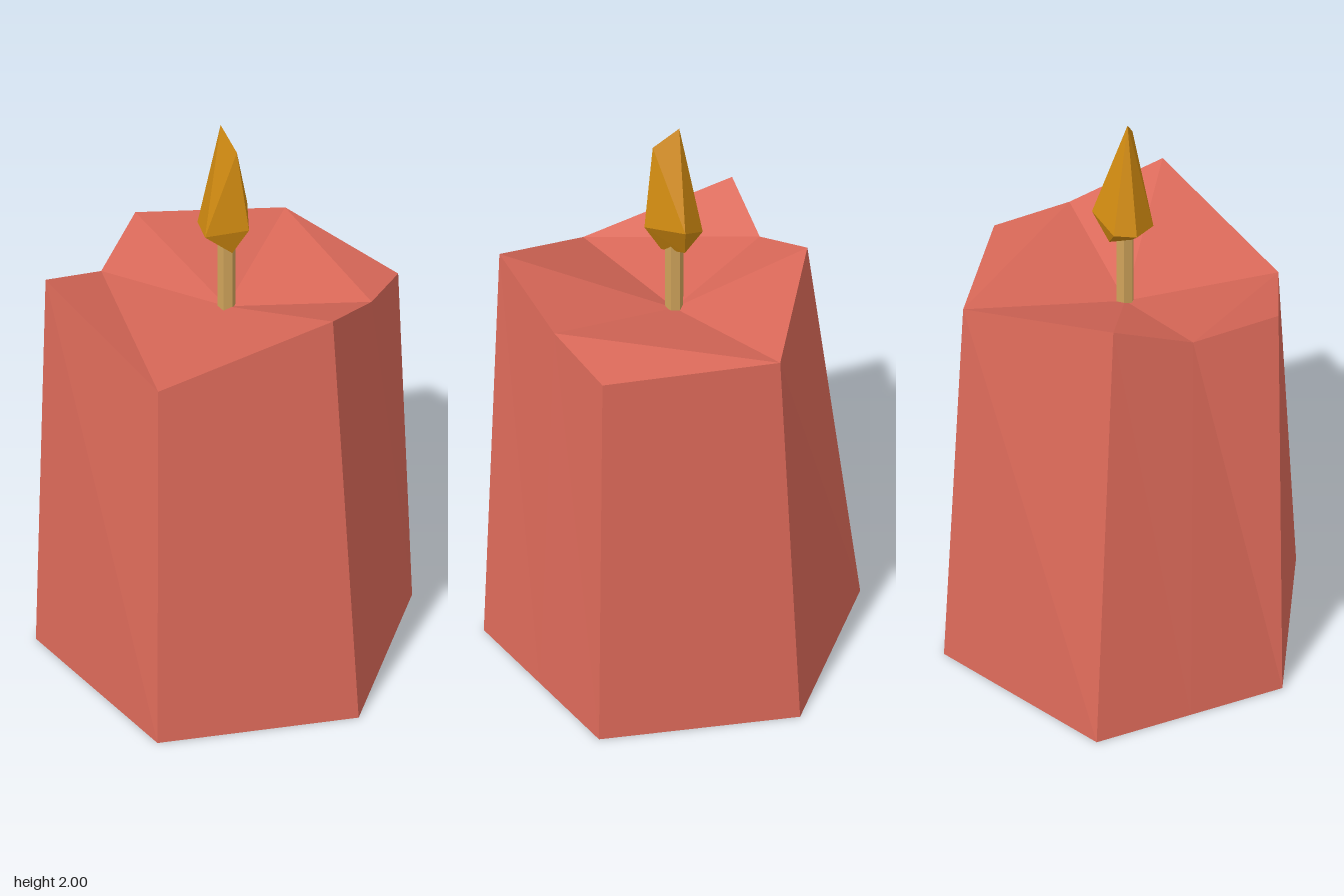
import * as THREE from 'three';
import { ConvexGeometry } from 'three/addons/geometries/ConvexGeometry.js';

// Flat-shaded surface from a list of points and corner triples
function facets(points, faces) {
  const g = new THREE.BufferGeometry();
  g.setAttribute('position', new THREE.Float32BufferAttribute(faces.flat().flatMap((i) => points[i]), 3));
  g.computeVertexNormals();
  return g;
}

export function createModel() {
  const group = new THREE.Group();
  const material = (name, color) => {
    const m = new THREE.MeshStandardMaterial({ color, flatShading: true });
    m.name = name;
    return m;
  };
  const add = (name, geometry, mat) => {
    const mesh = new THREE.Mesh(geometry, mat);
    mesh.name = name;
    group.add(mesh);
    return mesh;
  };
  const wax = material('redWax', 0xd96858);
  const cord = material('tanWick', 0xcfa35a);
  const fire = material('orangeFlame', 0xd08a10);

  // Wax body: hexagonal foot with two extra side points, and an uneven melted rim.
  // Both rings run back, left, front, right.
  const foot = [[0, -0.7], [-0.61, -0.35], [-0.61, 0], [-0.61, 0.35],
    [0, 0.7], [0.61, 0.35], [0.61, 0], [0.61, -0.35]].map(([x, z]) => [x, 0, z]);
  const rim = [[0.02, 1.43, -0.55], [-0.4, 1.515, -0.2], [-0.42, 1.425, 0.06], [-0.505, 1.515, 0.31],
    [-0.03, 1.34, 0.545], [0.46, 1.57, 0.325], [0.49, 1.453, -0.01], [0.505, 1.41, -0.28]];
  const n = foot.length, well = 2 * n, base = 2 * n + 1;
  const points = [...foot, ...rim, [0, 1.34, 0], [0, 0, 0]];
  const faces = [];
  for (let i = 0; i < n; i++) {
    const j = (i + 1) % n;
    faces.push([i, j, n + i], [j, n + j, n + i], [base, j, i]);
  }
  // Melted top: four patches sloping down to the wick
  const r = (i) => n + i;
  faces.push(
    [well, r(0), r(1)], [well, r(1), r(2)],
    [well, r(2), r(4)], [r(2), r(3), r(4)],
    [well, r(4), r(5)], [well, r(5), r(6)],
    [well, r(6), r(0)], [r(6), r(7), r(0)],
  );
  add('waxBody', facets(points, faces), wax);

  // Wick
  add('wick', new THREE.CylinderGeometry(0.03, 0.03, 0.32, 6), cord).position.y = 1.46;

  // Faceted flame: two tips, a wide belt and a narrow foot
  const flame = [
    [-0.02, 2, 0], [0.05, 1.937, 0.045],
    [-0.1, 1.64, 0], [-0.045, 1.635, 0.08], [0.09, 1.665, 0.04], [0.035, 1.685, -0.1], [-0.065, 1.64, -0.065],
    [0.03, 1.565, 0.03], [-0.03, 1.59, 0.01], [0.0, 1.58, -0.055],
  ].map((p) => new THREE.Vector3(...p));
  add('flame', new ConvexGeometry(flame), fire);

  return group;
}
